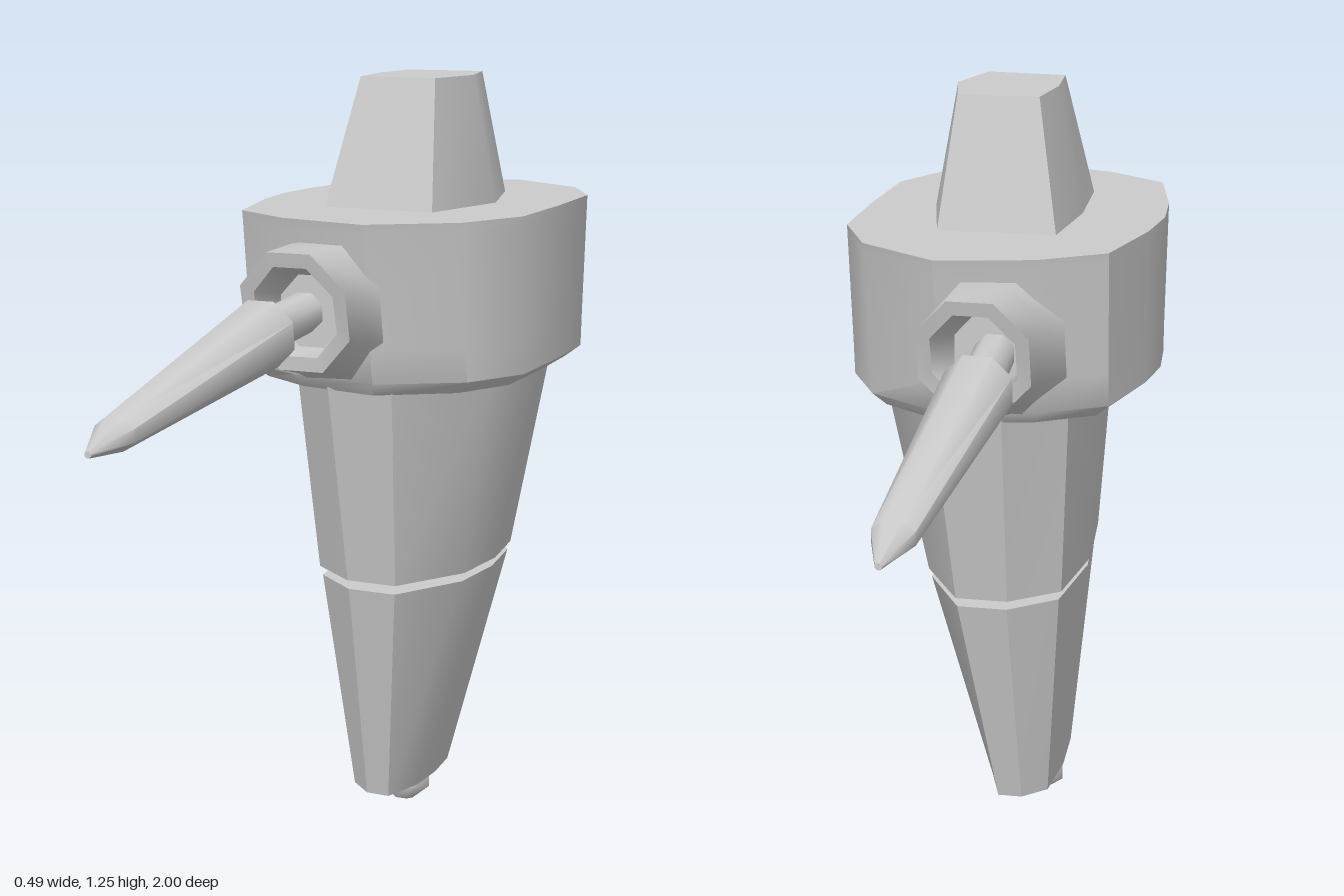
import * as THREE from 'three';
import { toCreasedNormals } from 'three/addons/utils/BufferGeometryUtils.js';

const material = new THREE.MeshStandardMaterial({ color: 0xcccccc, side: THREE.DoubleSide });

// Skin a stack of equal-length rings of [x, y, z] points and cap both ends
function loft(name, rings, crease = 0.6) {
  const n = rings[0].length, pos = [], idx = [];
  rings.forEach(r => r.forEach(p => pos.push(...p)));
  for (let k = 0; k < rings.length - 1; k++) {
    for (let i = 0; i < n; i++) {
      const a = k * n + i, b = k * n + (i + 1) % n;
      idx.push(a, a + n, b, b, a + n, b + n);
    }
  }
  [0, rings.length - 1].forEach((k, end) => {
    const c = pos.length / 3;
    pos.push(...[0, 1, 2].map(d => rings[k].reduce((s, p) => s + p[d], 0) / n));
    for (let i = 0; i < n; i++) {
      const a = k * n + i, b = k * n + (i + 1) % n;
      if (end) idx.push(c, b, a); else idx.push(c, a, b);
    }
  });
  const geo = new THREE.BufferGeometry();
  geo.setAttribute('position', new THREE.Float32BufferAttribute(pos, 3));
  geo.setIndex(idx);
  const mesh = new THREE.Mesh(toCreasedNormals(geo, crease), material);
  mesh.name = name;
  return mesh;
}

// Horizontal ring at height y: half outline [x, z] from +x round to -x, mirrored in z
function level(y, half, sx = 1, sz = 1) {
  const back = half.slice(1, -1).reverse().map(([x, z]) => [x, -z]);
  return [...half, ...back].map(([x, z]) => [x * sx, y, z * sz]);
}

// Upright octagonal ring at depth z on side s (+1 front, -1 back); tilt leans its top outward
function hoop(s, z, cx, cy, rx, ry, tilt = 0) {
  return Array.from({ length: 8 }, (_, i) => {
    const t = (i + 0.5) * Math.PI / 4, y = -s * Math.sin(t);
    return [cx + rx * Math.cos(t), cy + ry * y, s * (z + tilt * y)];
  });
}

export function createModel() {
  const model = new THREE.Group();

  // Head: tapered six-sided block
  const headBase = [[0.135, 0], [0.09, 0.168], [-0.1, 0.158], [-0.112, 0]];
  const headTop = [[0.095, 0], [0.07, 0.105], [-0.06, 0.1], [-0.07, 0]];
  model.add(loft('head', [level(1.04, headBase), level(1.25, headTop)]));

  // Collar: broad faceted band with a chamfered underside
  const collar = [[0.242, 0], [0.238, 0.16], [0.18, 0.27], [0.05, 0.35],
    [-0.1, 0.315], [-0.2, 0.25], [-0.235, 0.1], [-0.245, 0]];
  model.add(loft('collar', [
    level(0.775, collar, 0.88, 0.85), level(0.795, collar, 0.99, 0.89),
    level(0.85, collar, 0.99, 0.92), level(1.03, collar, 1, 0.99),
    level(1.046, collar)]));

  // Waist and lower body
  const waistTop = [[0.215, 0], [0.18, 0.15], [0.07, 0.285], [-0.04, 0.282], [-0.13, 0.2], [-0.155, 0]];
  const waistEnd = [[0.138, 0], [0.125, 0.11], [0.05, 0.225], [-0.035, 0.222], [-0.112, 0.16], [-0.13, 0]];
  const footEnd = [[0.03, 0], [0.025, 0.07], [0, 0.138], [-0.04, 0.136], [-0.078, 0.1], [-0.085, 0]];
  model.add(loft('waist', [level(0.45, waistEnd), level(0.78, waistTop)]));
  model.add(loft('waistJoint', [level(0.42, waistEnd, 0.68, 0.75), level(0.46, waistEnd, 0.68, 0.75)]));
  model.add(loft('lowerBody', [level(0.054, footEnd), level(0.435, waistEnd, 0.96, 0.99)]));

  // Small narrow tip under the body
  const tip = [[0.018, 0], [-0.005, 0.02], [-0.06, 0.02], [-0.084, 0]];
  const tipEnd = [[-0.012, 0], [-0.02, 0.01], [-0.04, 0.01], [-0.048, 0]];
  model.add(loft('tip', [level(0, tipEnd), level(0.025, tip), level(0.06, tip)], 0.9));

  // Matching arms at front and back
  for (const s of [1, -1]) {
    const arm = new THREE.Group();
    arm.name = s > 0 ? 'frontArm' : 'backArm';
    arm.add(loft('socket', [
      hoop(s, 0.26, -0.03, 0.895, 0.12, 0.12),
      hoop(s, 0.34, -0.03, 0.91, 0.1, 0.11, 0.01),
      hoop(s, 0.42, -0.03, 0.918, 0.093, 0.1, 0.023),
      hoop(s, 0.418, -0.03, 0.918, 0.07, 0.076, 0.02),
      hoop(s, 0.35, -0.035, 0.91, 0.055, 0.06)], 0.9));
    arm.add(loft('armRod', [
      hoop(s, 0.33, -0.045, 0.91, 0.032, 0.032),
      hoop(s, 0.5, -0.055, 0.893, 0.032, 0.032)], 0.9));
    arm.add(loft('spike', [
      hoop(s, 0.482, -0.053, 0.895, 0.055, 0.054, 0.006),
      hoop(s, 0.93, -0.05, 0.834, 0.032, 0.024),
      hoop(s, 1, -0.05, 0.821, 0.005, 0.005)], 0.9));
    model.add(arm);
  }
  return model;
}
